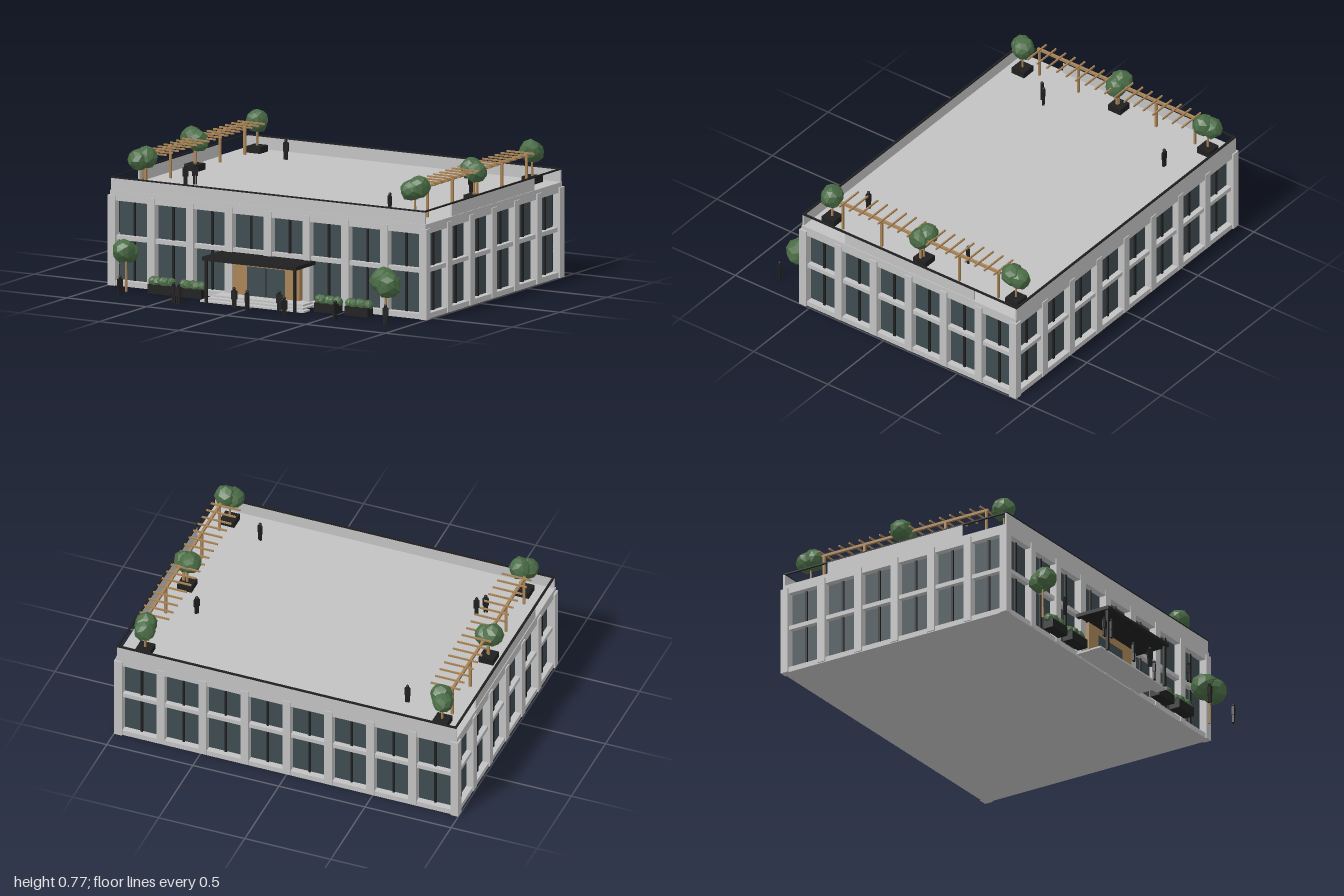
import * as THREE from 'three';

const mat = (name, color, flatShading = false) => {
  const m = new THREE.MeshStandardMaterial({ color, flatShading });
  m.name = name;
  return m;
};

export function createModel() {
  const root = new THREE.Group();
  root.name = 'officeBuilding';
  const wall = mat('concrete', 0xc2c2c2);
  const glass = mat('darkGlass', 0x3f4c52);
  const black = mat('black', 0x1f1f1f);
  const wood = mat('wood', 0xa98456);
  const leaf = mat('foliage', 0x4a6c45, true);

  const group = (name, parent = root) => {
    const g = new THREE.Group();
    g.name = name;
    parent.add(g);
    return g;
  };
  // Box given by its limits on each axis
  const box = (name, m, x0, x1, y0, y1, z0, z1, parent = root) => {
    const mesh = new THREE.Mesh(new THREE.BoxGeometry(x1 - x0, y1 - y0, z1 - z0), m);
    mesh.position.set((x0 + x1) / 2, (y0 + y1) / 2, (z0 + z1) / 2);
    mesh.name = name;
    parent.add(mesh);
    return mesh;
  };

  // Main mass: plinth, glazed core, cornice and roof
  const zc = -0.164;
  box('plinth', wall, -0.99, 0.99, 0, 0.03, -0.888, 0.56);
  box('glazing', glass, -0.953, 0.953, 0.03, 0.47, -0.851, 0.523);
  box('cornice', wall, -0.99, 0.99, 0.468, 0.522, -0.888, 0.56);

  // One facade drawn along local x, facing local +z
  const facade = (name, bays, pitch, bayWidth, half, depth, angle) => {
    const f = group(name);
    f.position.z = zc;
    f.rotation.y = angle;
    for (let i = 1; i < bays; i++) {
      const x = (i - bays / 2) * pitch, w = (pitch - bayWidth) / 2;
      box('pilaster', wall, x - w, x + w, 0.005, 0.5, depth - 0.045, depth - 0.003, f);
    }
    box('spandrel', wall, -half + 0.04, half - 0.04, 0.253, 0.277, depth - 0.045, depth - 0.015, f);
    for (let i = 0; i < bays; i++) {
      const x = (i - (bays - 1) / 2) * pitch;
      box('mullion', black, x - 0.006, x + 0.006, 0.03, 0.47, depth - 0.045, depth - 0.035, f);
    }
  };
  for (const s of [0, 1]) {
    facade(s ? 'backFacade' : 'frontFacade', 8, 0.2437, 0.198, 1, 0.732, s * Math.PI);
    facade(s ? 'rightFacade' : 'leftFacade', 6, 0.2365, 0.189, 0.732, 1, Math.PI / 2 + s * Math.PI);
  }
  for (const x of [-0.977, 0.977]) for (const z of [-0.873, 0.545])
    box('cornerPier', wall, x - 0.023, x + 0.023, 0, 0.497, z - 0.023, z + 0.023);

  // Parapets, open near the corners on the sides, with a dark rail all round
  for (const z of [-0.884, 0.552]) {
    box('parapet', wall, -0.985, 0.985, 0.522, 0.59, z - 0.005, z + 0.005);
    box('rail', black, -0.987, 0.987, 0.589, 0.596, z - 0.006, z + 0.006);
  }
  for (const x of [-0.981, 0.981]) {
    box('sideParapet', wall, x - 0.005, x + 0.005, 0.522, 0.59, -0.6, 0.27);
    box('sideRail', black, x - 0.006, x + 0.006, 0.589, 0.596, -0.884, 0.552);
  }

  // Entrance: timber portal, glass door, canopy on posts, steps
  const entrance = group('entrance');
  box('portal', wood, -0.208, 0.208, 0.03, 0.235, 0.52, 0.575, entrance);
  box('door', glass, -0.118, 0.118, 0.03, 0.19, 0.574, 0.578, entrance);
  box('doorMullion', black, -0.003, 0.003, 0.03, 0.19, 0.576, 0.58, entrance);
  box('canopy', black, -0.295, 0.295, 0.235, 0.255, 0.55, 0.76, entrance);
  for (const x of [-0.277, 0.277])
    box('canopyPost', black, x - 0.007, x + 0.007, 0, 0.236, 0.735, 0.749, entrance);
  for (let i = 0; i < 3; i++)
    box('step', wall, -0.325 + i * 0.022, 0.325 - i * 0.022, i * 0.01, i * 0.01 + 0.01,
      i ? 0.55 : 0.66, 0.73 - i * 0.035, entrance);

  // Foliage blob: a slightly uneven low-poly ball
  const blob = (parent, x, y, z, r, seed, detail = 1) => {
    const g = new THREE.IcosahedronGeometry(1, detail), p = g.attributes.position;
    const v = new THREE.Vector3();
    for (let i = 0; i < p.count; i++) {
      v.fromBufferAttribute(p, i);
      v.multiplyScalar(1 + 0.09 * Math.sin(v.x * 4 + seed) * Math.cos(v.y * 5 + v.z * 3 + seed));
      p.setXYZ(i, v.x, v.y, v.z);
    }
    g.computeVertexNormals();
    const mesh = new THREE.Mesh(g, leaf);
    mesh.name = 'foliage';
    mesh.position.set(x, y, z);
    mesh.scale.setScalar(r);
    mesh.rotation.y = seed;
    parent.add(mesh);
  };
  const tree = (x, z, base, crownY, r, seed) => {
    const t = group('tree');
    t.position.set(x, base, z);
    const trunk = new THREE.Mesh(new THREE.CylinderGeometry(0.005, 0.007, crownY, 6), wood);
    trunk.name = 'trunk';
    trunk.position.y = crownY / 2;
    t.add(trunk);
    const a = seed * 1.7, d = r * 0.28;
    blob(t, Math.cos(a) * d, crownY + r * 0.08, Math.sin(a) * d, r * 0.8, seed);
    blob(t, -Math.cos(a) * d, crownY - r * 0.1, -Math.sin(a) * d, r * 0.76, seed + 2);
    return t;
  };
  tree(-0.817, 0.68, 0, 0.222, 0.077, 1);
  tree(0.812, 0.68, 0, 0.205, 0.095, 2.2);

  // Roof trees in square planters
  [[-0.865, -0.79], [-0.89, -0.17], [-0.85, 0.45], [0.86, -0.79], [0.862, -0.17], [0.86, 0.45]]
    .forEach(([x, z], i) => {
      const t = tree(x, z, 0.522, 0.17, 0.078, i * 1.3 + 0.6);
      box('treePlanter', black, -0.042, 0.042, 0, 0.036, -0.042, 0.042, t);
    });

  // Pergolas along both sides of the roof
  for (const s of [-1, 1]) {
    const p = group(s < 0 ? 'rightPergola' : 'leftPergola');
    const x = s * 0.884;
    box('beam', wood, x - 0.007, x + 0.007, 0.685, 0.699, -0.705, 0.372, p);
    for (let i = 0; i < 5; i++) {
      const z = 0.36 - i * 0.2625;
      box('post', wood, x - 0.007, x + 0.007, 0.522, 0.686, z - 0.006, z + 0.006, p);
    }
    for (let i = 0; i < 17; i++) {
      const z = -0.693 + i * 0.0651;
      box('slat', wood, s * 0.845 - 0.085, s * 0.845 + 0.085, 0.697, 0.706, z - 0.004, z + 0.004, p);
    }
  }

  // Planters with shrubs beside the entrance
  for (const x of [-0.62, -0.428, 0.423, 0.615]) {
    const p = group('shrubPlanter');
    box('trough', black, x - 0.072, x + 0.072, 0, 0.05, 0.602, 0.664, p);
    for (let i = 0; i < 5; i++)
      blob(p, x + (i - 2) * 0.028, 0.062, 0.633 + (i % 2 ? 0.006 : -0.006), 0.029, i + x * 9);
  }

  // Standing figures: x, z, base height, turn
  const person = (x, z, y, turn) => {
    const g = group('person');
    g.position.set(x, y, z);
    g.rotation.y = turn;
    for (const s of [-1, 1]) {
      box('leg', black, s * 0.006 - 0.005, s * 0.006 + 0.005, 0, 0.052, -0.006, 0.006, g);
      box('arm', black, s * 0.013 - 0.003, s * 0.013 + 0.003, 0.045, 0.092, -0.005, 0.005, g);
    }
    box('torso', black, -0.011, 0.011, 0.048, 0.095, -0.008, 0.008, g);
    const head = new THREE.Mesh(new THREE.SphereGeometry(0.0095, 8, 6), black);
    head.name = 'head';
    head.position.y = 0.104;
    g.add(head);
  };
  [[-0.783, 0.803, 1.1], [-0.433, 0.825, 0], [-0.392, 0.845, 0.1], [-0.08, 0.78, 0.2], [0.024, 0.818, -0.4],
    [0.18, 0.742, 0.3], [0.297, 0.885, 0.7], [0.585, 0.832, 1.4], [0.877, 0.793, 0.3]]
    .forEach(([x, z, t]) => person(x, z, 0, t));
  [[-0.62, -0.68, 0], [0.728, -0.368, 0.9], [-0.718, 0.218, 0.5], [-0.68, 0.18, 0.5], [0.65, 0.363, -0.6]]
    .forEach(([x, z, t]) => person(x, z, 0.522, t));

  return root;
}
